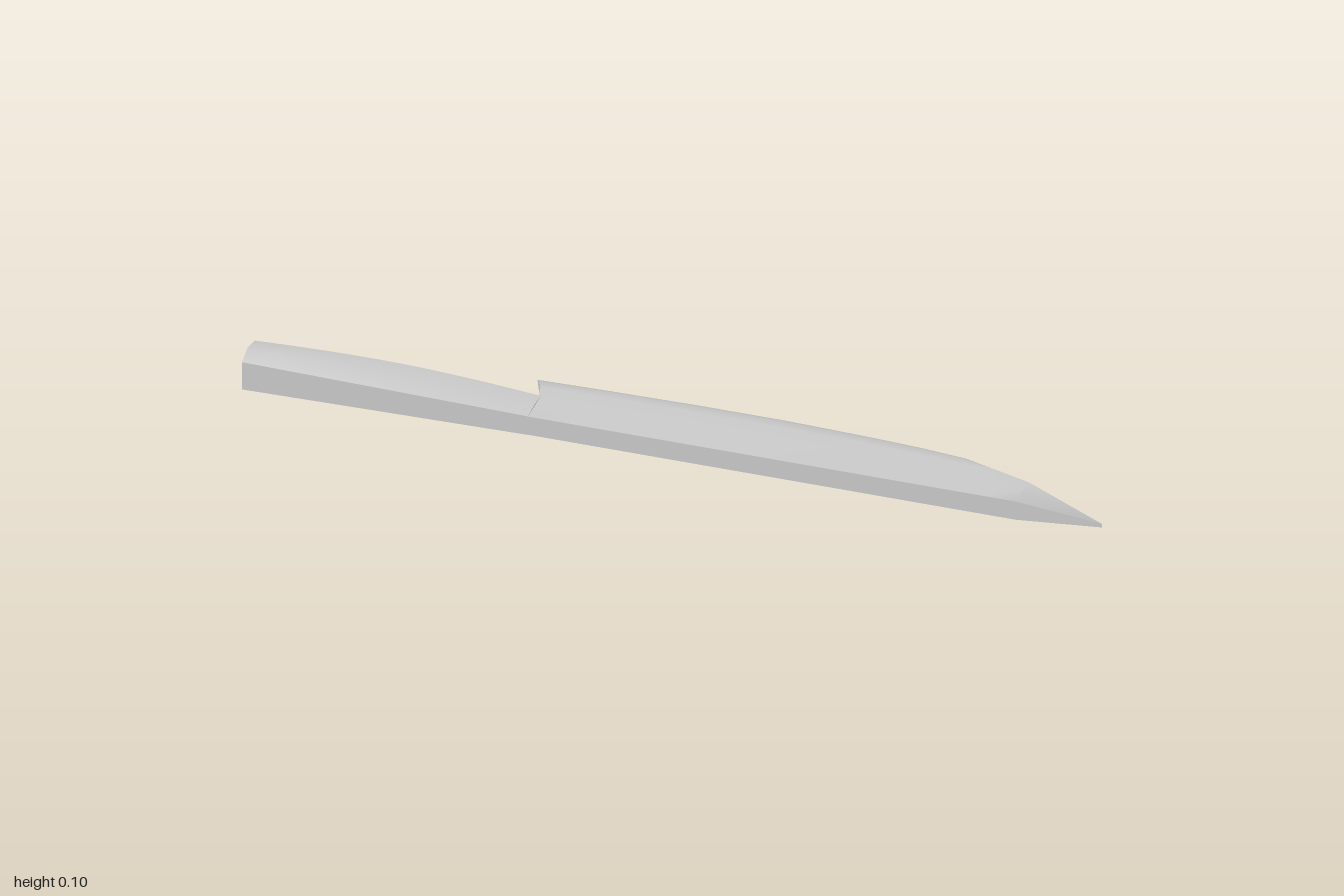
import * as THREE from 'three';
import { toCreasedNormals } from 'three/addons/utils/BufferGeometryUtils.js';

const MID = 0.048;   // height of the symmetry plane
const SPINE = 0.093; // z of the straight spine

// Skins half-sections [x, half thickness, z], listed spine to edge, mirrored about MID.
function loft(halfSections) {
  const rings = halfSections.map((half) => [
    ...half.map(([x, h, z]) => [x, MID + h, z]),
    ...[...half].reverse().map(([x, h, z]) => [x, MID - h, z]),
  ]);
  const n = rings[0].length;
  const index = [];
  const quad = (a, b, c, d) => index.push(a, b, c, a, c, d);
  for (let i = 0; i < rings.length - 1; i++) {
    for (let j = 0; j < n; j++) {
      const k = (j + 1) % n;
      quad(i * n + j, (i + 1) * n + j, (i + 1) * n + k, i * n + k);
    }
  }
  // End caps, as strips between the two mirrored sides
  const last = (rings.length - 1) * n;
  for (let j = 0; j < n / 2 - 1; j++) {
    quad(j, j + 1, n - 2 - j, n - 1 - j);
    quad(last + n - 1 - j, last + n - 2 - j, last + j + 1, last + j);
  }
  const geometry = new THREE.BufferGeometry();
  geometry.setAttribute('position', new THREE.Float32BufferAttribute(rings.flat(2), 3));
  geometry.setIndex(index);
  return toCreasedNormals(geometry, 0.6);
}

function bladeSections() {
  const rows = [0, 0.51, 0.71, 0.86, 1];           // fraction from spine to edge
  const halves = [0.024, 0.02, 0.0185, 0.017, 0.002];
  const heelX = [-0.34, -0.34, -0.347, -0.358, -0.37];
  // Outline of the cutting edge: x, z, thickness scale
  const outline = [
    [-0.34, -0.088, 1], [-0.2, -0.093, 1], [0, -0.097, 1], [0.2, -0.097, 1],
    [0.4, -0.09, 1], [0.52, -0.083, 1], [0.63, -0.072, 1], [0.72, -0.045, 1],
    [0.8, -0.016, 1], [1, 0.091, 0.2],
  ];
  return outline.map(([x, edge, s], i) => rows.map((t, j) => [
    i === 0 ? heelX[j] : x, halves[j] * s, THREE.MathUtils.lerp(SPINE, edge, t),
  ]));
}

function handleSections() {
  const steps = 12;
  const { lerp } = THREE.MathUtils;
  return Array.from({ length: steps + 1 }, (_, i) => {
    const t = i / steps;
    const x = lerp(-1, -0.335, t);
    const belly = -0.001 - 0.02 * Math.sin(Math.PI * t); // bowed grip side
    return [
      [x, lerp(0.036, 0.0245, t), SPINE],
      [x, lerp(0.048, 0.025, t), 0.05],
      [x, lerp(0.035, 0.0205, t), belly],
    ];
  });
}

export function createModel() {
  const knife = new THREE.Group();
  knife.name = 'knife';
  const material = new THREE.MeshStandardMaterial({ color: 0xcccccc });
  const add = (name, sections) => {
    const mesh = new THREE.Mesh(loft(sections), material);
    mesh.name = name;
    knife.add(mesh);
  };
  add('blade', bladeSections());
  add('handle', handleSections());
  return knife;
}
